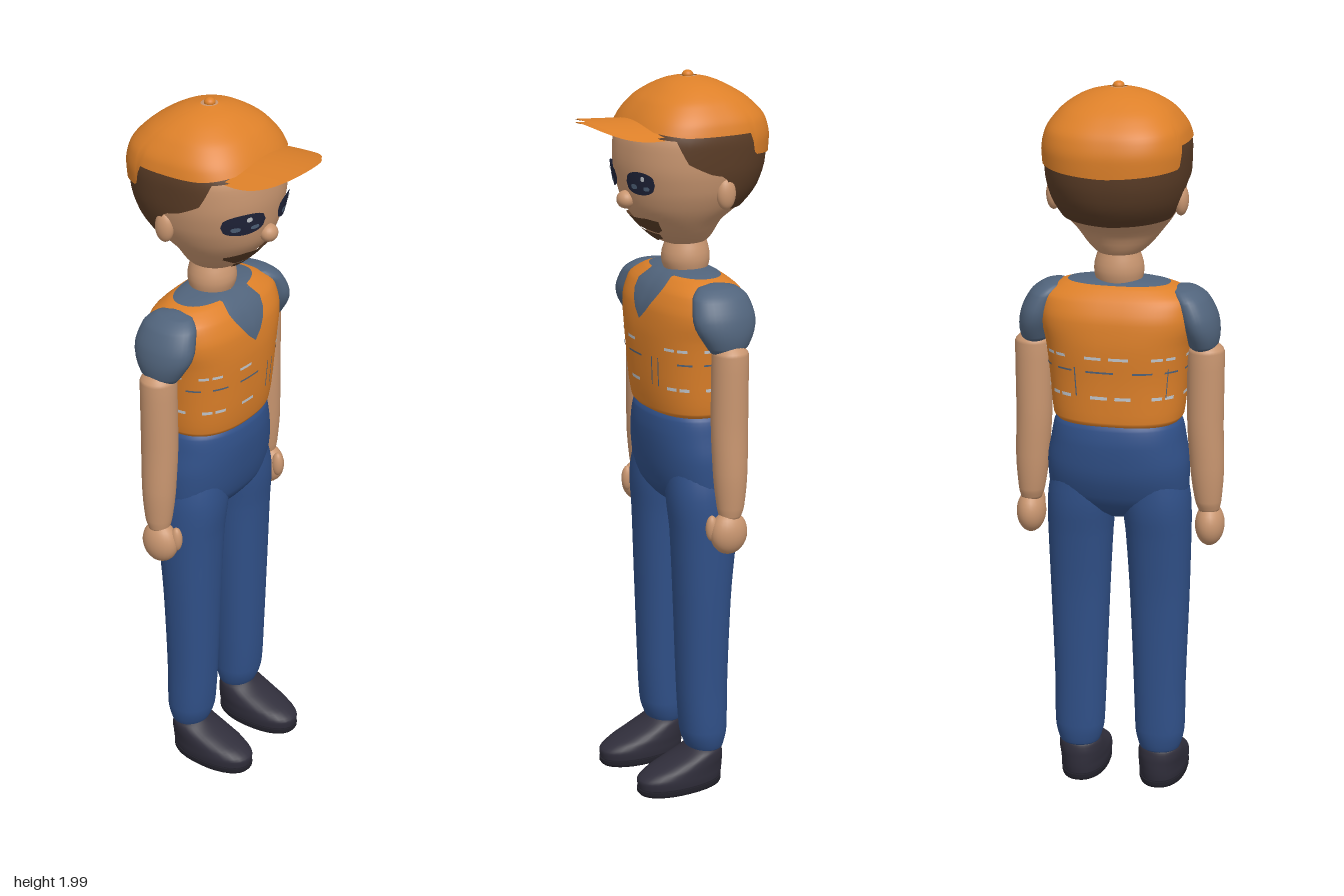
import * as THREE from 'three';
import { mergeVertices } from 'three/addons/utils/BufferGeometryUtils.js';

const paint = (name, color, side = THREE.FrontSide) => {
  const m = new THREE.MeshStandardMaterial({ color, side });
  m.name = name;
  return m;
};
const { PI, sin, cos, abs, sign, min, pow } = Math;

// Monotone smooth interpolation of ring values at height y
function ringAt(rings, y) {
  const n = rings.length - 1;
  let i = 0;
  while (i < n - 1 && y > rings[i + 1][0]) i++;
  const a = rings[i], b = rings[i + 1], h = b[0] - a[0];
  const t = THREE.MathUtils.clamp((y - a[0]) / h, 0, 1);
  const slope = (j, k) => (rings[j + 1][k] - rings[j][k]) / (rings[j + 1][0] - rings[j][0]);
  const tangent = (j, k) => {
    if (j === 0) return slope(0, k);
    if (j === n) return slope(n - 1, k);
    const p = slope(j - 1, k), q = slope(j, k);
    return p * q <= 0 ? 0 : 2 * p * q / (p + q);
  };
  return a.map((v, k) => k === 0 ? y :
    v * (1 + 2 * t) * (1 - t) ** 2 + b[k] * t * t * (3 - 2 * t) +
    h * (tangent(i, k) * t * (1 - t) ** 2 + tangent(i + 1, k) * t * t * (t - 1)));
}

// Point on a body: ring = [y, centreX, radiusX, frontZ, backZ, roundness], u = 0 at the front
function surface(rings, u, y, grow = 0) {
  const [, cx, rx, zf, zb, p] = ringAt(rings, y);
  const c = cos(u), s = sin(u), e = 2 / p;
  return [cx + (rx + grow) * sign(s) * pow(abs(s), e), y,
    (zf + zb) / 2 + ((zf - zb) / 2 + grow) * sign(c) * pow(abs(c), e)];
}

function grid(rows, cols, at) {
  const pos = [], idx = [], w = cols + 1;
  for (let i = 0; i <= rows; i++) for (let j = 0; j <= cols; j++) pos.push(...at(i, j));
  for (let i = 0; i < rows; i++) for (let j = 0; j < cols; j++) {
    const a = i * w + j;
    idx.push(a, a + 1, a + w + 1, a, a + w + 1, a + w);
  }
  let g = new THREE.BufferGeometry();
  g.setAttribute('position', new THREE.Float32BufferAttribute(pos, 3));
  g.setIndex(idx);
  g = mergeVertices(g, 1e-5);
  g.computeVertexNormals();
  return g;
}

// Closed body through all rings
function loft(rings, cols = 40, sub = 4) {
  const ys = [rings[0][0]];
  for (let i = 1; i < rings.length; i++) for (let k = 1; k <= sub; k++)
    ys.push(THREE.MathUtils.lerp(rings[i - 1][0], rings[i][0], k / sub));
  const rows = ys.length + 1;
  return grid(rows, cols, (i, j) => {
    const y = ys[THREE.MathUtils.clamp(i - 1, 0, ys.length - 1)];
    if (i === 0 || i === rows) {
      const r = ringAt(rings, y);
      return [r[1], y, (r[3] + r[4]) / 2];
    }
    return surface(rings, -PI + (j % cols) / cols * 2 * PI, y, 0);
  });
}

// Thin skin lying on a body between two heights that vary with the angle
function patch(rings, u0, u1, low, high, grow, cols = 12, rows = 4) {
  return grid(rows, cols, (i, j) => {
    const u = u0 + (u1 - u0) * j / cols;
    return surface(rings, u, THREE.MathUtils.lerp(low(u), high(u), i / rows), grow);
  });
}

// Piecewise linear function through [x, y] pairs
const steps = pts => u => {
  const x = abs(u);
  for (let i = 1; i < pts.length; i++) if (x <= pts[i][0]) {
    const [a, b] = [pts[i - 1], pts[i]];
    return a[1] + (b[1] - a[1]) * (x - a[0]) / (b[0] - a[0]);
  }
  return pts[pts.length - 1][1];
};

export function createModel() {
  const group = new THREE.Group();
  const D = THREE.DoubleSide;
  const orange = paint('orange', 0xdd8029), skin = paint('skin', 0xc99670);
  const hairBrown = paint('hairBrown', 0x5a3c26, D), denim = paint('denim', 0x305088);
  const slate = paint('slate', 0x51647c, D), shoeDark = paint('shoeDark', 0x302e3b);
  const soleDark = paint('soleDark', 0x22212a), eyeDark = paint('eyeDark', 0x20243a, D);
  const silver = paint('silver', 0xc4c9cf, D), capOrange = paint('capOrange', 0xdd8029, D);

  const add = (name, geo, mat) => {
    const m = new THREE.Mesh(geo, mat);
    m.name = name;
    group.add(m);
    return m;
  };
  const ball = (name, mat, p, r) => {
    const m = add(name, new THREE.SphereGeometry(1, 24, 16), mat);
    m.position.set(...p);
    m.scale.set(...r);
    return m;
  };

  // Head
  const head = [
    [1.525, 0, 0.02, -0.03, -0.08, 2], [1.545, 0, 0.065, 0.025, -0.11, 2],
    [1.6, 0, 0.115, 0.085, -0.14, 2], [1.65, 0, 0.15, 0.12, -0.2, 2.1],
    [1.7, 0, 0.171, 0.132, -0.232, 2.25], [1.76, 0, 0.182, 0.138, -0.246, 2.4],
    [1.82, 0, 0.184, 0.133, -0.248, 2.5], [1.87, 0, 0.174, 0.11, -0.236, 2.6],
    [1.92, 0, 0.14, 0.072, -0.194, 2.5], [1.95, 0, 0.1, 0.03, -0.148, 2.3],
    [1.968, 0, 0.06, -0.005, -0.11, 2], [1.978, 0, 0.012, -0.045, -0.067, 2]];
  add('head', loft(head, 56), skin);
  add('neck', loft([[1.44, 0, 0.055, 0, -0.1, 2], [1.495, 0, 0.067, 0.016, -0.114, 2],
    [1.56, 0, 0.05, -0.005, -0.1, 2]]), skin);
  ball('nose', skin, [0, 1.667, 0.131], [0.026, 0.024, 0.024]);

  // Hair and cap
  const hairLine = steps([[0, 1.85], [0.95, 1.84], [1.15, 1.78], [1.45, 1.75], [1.6, 1.74],
    [1.72, 1.7], [1.85, 1.645], [PI, 1.635]]);
  const capLine = steps([[0, 1.868], [1.1, 1.848], [1.9, 1.848], [2.0, 1.79], [PI, 1.775]]);
  add('hair', patch(head, -PI, PI, hairLine, () => 1.9, 0.006, 120, 14), hairBrown);
  add('cap', patch(head, -PI, PI, capLine, () => 1.978, 0.011, 120, 24), capOrange);
  ball('capButton', orange, [0, 1.98, -0.055], [0.015, 0.012, 0.015]);
  const brim = grid(10, 32, (i, j) => {
    const a = PI * j / 32, t = i / 10;
    const x = 0.138 * cos(a) * (0.96 + 0.04 * t);
    const z = 0.06 + t * (0.06 + 0.136 * pow(sin(a), 0.8));
    return [x, 1.886 - 1.5 * x * x - 0.06 * (0.256 - z), z];
  });
  add('capBrim', brim, capOrange);
  const under = add('capBrimUnderside', brim.clone(), capOrange);
  under.position.y = -0.009;

  // Eyes: a dark rounded patch with small glints
  const blob = (name, mat, u0, u1, y, h, grow) => {
    const f = u => h * pow(Math.max(0, 1 - ((2 * u - u0 - u1) / (u1 - u0)) ** 2), 0.35);
    add(name, patch(head, u0, u1, u => y - f(u), u => y + f(u), grow, 20, 4), mat);
  };
  for (const [a, b] of [[-0.86, -0.12], [0.1, 0.64]]) {
    const at = t => a + (b - a) * t;
    blob('eye', eyeDark, a, b, 1.722, 0.031, 0.007);
    blob('eyeGlint', silver, at(0.55), at(0.68), 1.736, 0.007, 0.009);
    blob('eyeGlint', slate, at(0.2), at(0.42), 1.712, 0.007, 0.009);
    blob('eyeGlint', slate, at(0.64), at(0.84), 1.71, 0.006, 0.009);
  }

  // Moustache and chin beard
  add('moustache', patch(head, -0.85, 0.65, steps([[0, 1.588], [0.5, 1.578], [0.85, 1.602]]),
    steps([[0, 1.618], [0.4, 1.622], [0.85, 1.612]]), 0.008, 24), hairBrown);
  add('chinBeard', patch(head, -0.5, 0.5, steps([[0, 1.545], [0.5, 1.56]]),
    steps([[0, 1.58], [0.5, 1.574]]), 0.007), hairBrown);

  // Vest, shirt neckline
  const torso = [
    [1.08, 0, 0.16, 0.062, -0.166, 2.4], [1.1, 0, 0.176, 0.076, -0.178, 2.4],
    [1.2, 0, 0.186, 0.088, -0.18, 2.4], [1.3, 0, 0.197, 0.092, -0.185, 2.5],
    [1.37, 0, 0.212, 0.086, -0.18, 2.6], [1.42, 0, 0.208, 0.066, -0.16, 2.6],
    [1.452, 0, 0.165, 0.036, -0.13, 2.4], [1.466, 0, 0.11, 0.01, -0.105, 2.2],
    [1.472, 0, 0.05, -0.01, -0.09, 2]];
  add('vest', loft(torso, 64), orange);
  add('shirtNeck', patch(torso, -PI, PI, u => min(1.461, 1.34 + abs(u) * 0.36),
    () => 1.472, 0.003, 96, 12), slate);

  // Broken reflective bands and dark seams on the vest
  const band = (name, mat, u0, u1, y, h) =>
    add(name, patch(torso, u0, u1, () => y, () => y + h, 0.002, 6, 1), mat);
  for (let i = 0; i < 24; i++) {
    const u = i * PI / 12;
    if (i < 2) continue;
    if (i % 3 !== 1) {
      band('reflectiveBand', silver, u, u + 0.2, 1.275, 0.008);
      band('reflectiveBand', silver, u + 0.05, u + 0.25, 1.165, 0.009);
    }
    if (i % 2) band('vestSeam', slate, u, u + 0.3, 1.238, 0.005);
  }
  for (const u of [0.24, 0.38, 2.7, -2.3]) band('vestSeam', slate, u, u + 0.02, 1.17, 0.08);

  // Hips
  add('hips', loft([
    [0.8, 0, 0.05, -0.02, -0.075, 2], [0.83, 0, 0.14, 0.025, -0.12, 2.1],
    [0.88, 0, 0.19, 0.058, -0.155, 2.3], [0.96, 0, 0.194, 0.074, -0.18, 2.3],
    [1.03, 0, 0.183, 0.079, -0.184, 2.3], [1.075, 0, 0.174, 0.075, -0.178, 2.3],
    [1.095, 0, 0.16, 0.065, -0.168, 2.3]], 56), denim);

  // Paired parts, left is +x
  for (const s of [1, -1]) {
    const side = s > 0 ? 'left' : 'right';
    const limb = (name, mat, rings) =>
      add(side + name, loft(rings.map(([y, x, ...r]) => [y, s * x, ...r]), 32), mat);

    ball(side + 'Ear', skin, [s * 0.17, 1.692, -0.074], [0.02, 0.042, 0.027]);
    limb('Sleeve', slate, [
      [1.285, 0.228, 0.03, 0, -0.09, 2], [1.3, 0.228, 0.04, 0.012, -0.108, 2],
      [1.37, 0.215, 0.052, 0.045, -0.134, 2], [1.42, 0.195, 0.048, 0.036, -0.125, 2],
      [1.447, 0.175, 0.035, 0.01, -0.1, 2], [1.455, 0.165, 0.01, -0.03, -0.06, 2]]);
    limb('Arm', skin, [
      [1.31, 0.235, 0.025, -0.025, -0.075, 2], [1.28, 0.236, 0.05, -0.002, -0.1, 2],
      [1.1, 0.236, 0.049, 0, -0.1, 2], [0.96, 0.242, 0.046, -0.003, -0.096, 2],
      [0.86, 0.246, 0.036, -0.012, -0.086, 2], [0.83, 0.248, 0.028, -0.018, -0.075, 2]].reverse());
    ball(side + 'Hand', skin, [s * 0.25, 0.788, -0.042], [0.04, 0.06, 0.053]);
    ball(side + 'Thumb', skin, [s * 0.238, 0.803, 0.003], [0.016, 0.036, 0.017]);
    limb('Leg', denim, [
      [0.1, 0.115, 0.035, -0.02, -0.08, 2], [0.115, 0.115, 0.057, 0.006, -0.098, 2],
      [0.17, 0.115, 0.069, 0.022, -0.106, 2.2], [0.3, 0.113, 0.072, 0.03, -0.108, 2.2],
      [0.55, 0.112, 0.081, 0.038, -0.116, 2.2], [0.75, 0.109, 0.089, 0.046, -0.136, 2.2],
      [0.86, 0.102, 0.094, 0.055, -0.15, 2.2], [0.96, 0.09, 0.085, 0.05, -0.15, 2]]);
    limb('Shoe', shoeDark, [
      [0.016, 0.113, 0.064, 0.157, -0.093, 2.2], [0.04, 0.113, 0.067, 0.16, -0.097, 2.2],
      [0.06, 0.113, 0.067, 0.135, -0.098, 2.2], [0.08, 0.114, 0.065, 0.085, -0.098, 2.2],
      [0.105, 0.115, 0.06, 0.025, -0.094, 2], [0.122, 0.115, 0.04, 0, -0.08, 2]]);
    limb('Sole', soleDark, [
      [0, 0.113, 0.064, 0.155, -0.093, 2.2], [0.008, 0.113, 0.066, 0.16, -0.096, 2.2],
      [0.018, 0.113, 0.066, 0.16, -0.096, 2.2]]);
  }
  return group;
}
